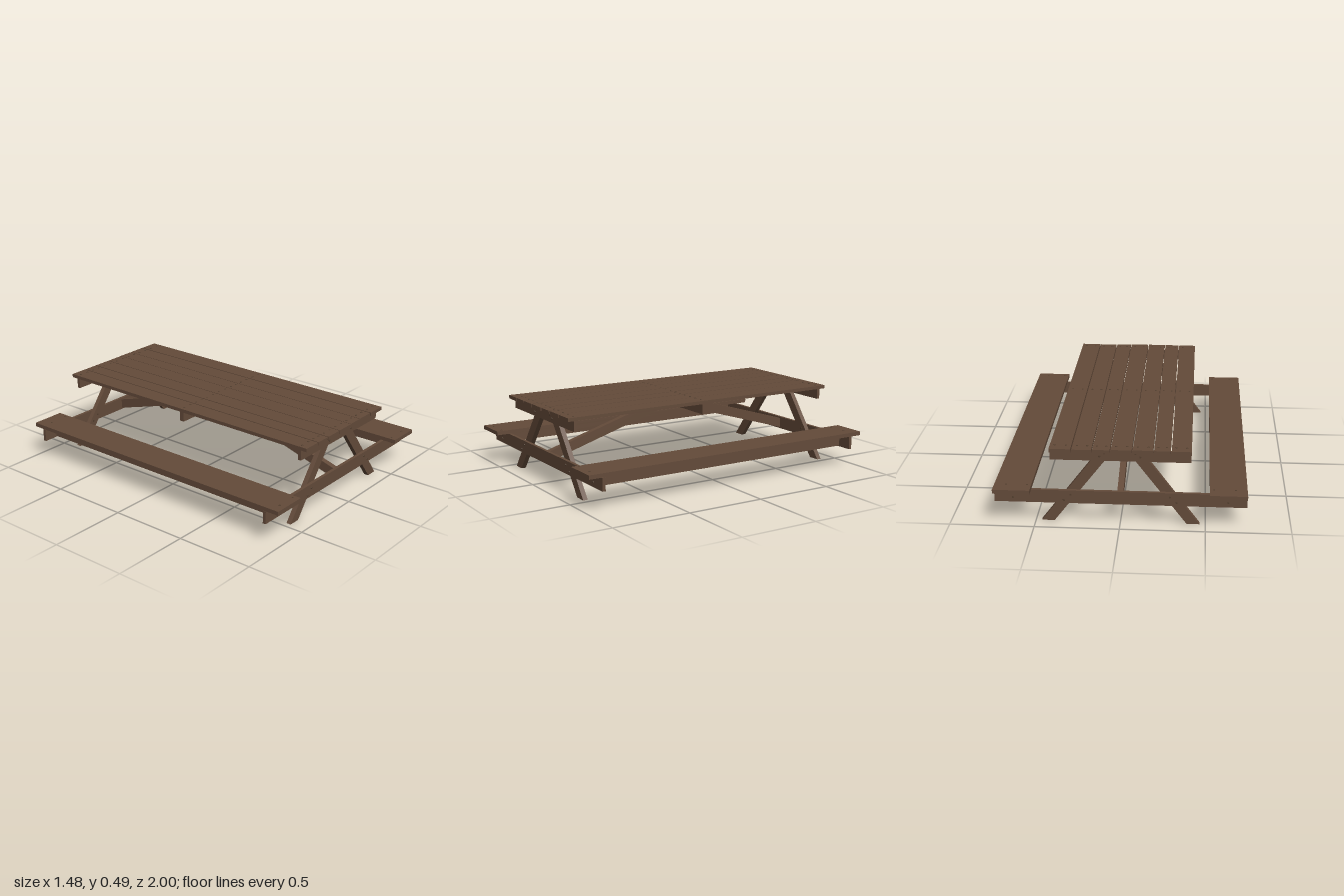
import * as THREE from 'three';

export function createModel() {
  const group = new THREE.Group();
  const wood = new THREE.MeshStandardMaterial({ color: 0x644b3a });
  wood.name = 'brown wood';
  const boltMat = new THREE.MeshStandardMaterial({ color: 0x54402f });
  boltMat.name = 'dark bolt';

  const add = (name, geo, mat = wood) => {
    const mesh = new THREE.Mesh(geo, mat);
    mesh.name = name;
    group.add(mesh);
    return mesh;
  };
  // Board given by its limits on each axis
  const board = (name, x0, x1, y0, y1, z0, z1) =>
    add(name, new THREE.BoxGeometry(x1 - x0, y1 - y0, z1 - z0))
      .position.set((x0 + x1) / 2, (y0 + y1) / 2, (z0 + z1) / 2);
  // Flat outline extruded by depth
  const slab = (points, depth) =>
    new THREE.ExtrudeGeometry(new THREE.Shape(points.map(p => new THREE.Vector2(...p))),
      { depth, bevelEnabled: false });
  // Low bolt heads, facing up or along z
  const headGeo = new THREE.CylinderGeometry(0.006, 0.007, 0.006, 8);
  const bolt = (name, x, y, z, alongZ = false) => {
    const b = add(name, headGeo, boltMat);
    b.position.set(x, y, z);
    if (alongZ) b.rotation.x = Math.sign(z) * Math.PI / 2;
  };

  // Table top: seven slightly uneven planks
  const seams = [-0.415, -0.295, -0.195, -0.073, 0.053, 0.158, 0.278, 0.408];
  const shifts = [0, 0.001, 0.002, 0.001, -0.002, -0.004, -0.002];
  for (let i = 0; i < 7; i++) {
    const a = seams[i], b = seams[i + 1], s = shifts[i];
    board('topPlank', a + 0.003, b - 0.003, 0.467, 0.489 + s / 3, -0.971 + s, 0.955 + s);
    for (const z of [-0.917, 0.005, 0.905])
      for (const t of [0.25, 0.75]) bolt('topBolt', a + (b - a) * t, 0.488, z);
  }

  // Centre cleat under the top
  board('centreCleat', -0.405, 0.405, 0.403, 0.467, -0.016, 0.016);

  // Benches with a rail under each seat
  for (const s of [-1, 1]) {
    const x = s * 0.63;
    board('benchSeat', x - 0.109, x + 0.109, 0.207, 0.232, -1, 1);
    board('benchRail', x - 0.015, x + 0.015, 0.13, 0.207, -0.908, 0.895);
    for (const z of [-0.92, 0.96])
      for (const dx of [-0.085, 0.04]) bolt('seatBolt', x + s * dx, 0.231, z);
  }

  // End frames: crossbeam and top cleat outside a pair of slanted legs
  for (const [f, inner] of [[1, 0.865], [-1, 0.878]]) {
    const mid = inner + 0.03, outer = mid + 0.02;
    const z0 = Math.min(f * mid, f * outer), z1 = Math.max(f * mid, f * outer);
    board('benchBeam', -0.74, 0.74, 0.125, 0.206, z0, z1);
    board('topCleat', -0.41, 0.407, 0.402, 0.467, z0, z1);
    for (const s of [-1, 1]) {
      const outline = [[0.39, 0], [0.465, 0], [0.114, 0.467], [0.034, 0.467]];
      const leg = add('leg', slab(outline.map(([x, y]) => [s * x, y]), 0.03));
      leg.position.z = f > 0 ? inner : -mid;
      const spots = [[0.63, 0.18], [0.63, 0.155], [0.29, 0.18], [0.33, 0.145], [0.09, 0.45], [0.118, 0.43]];
      spots.forEach(([x, y], i) => {
        bolt('frameBolt', s * x, y, f * (outer + 0.001), true);
        if (i > 1) bolt('frameNut', s * x, y, f * (inner - 0.002), true);
      });
    }
  }

  // Diagonal braces from the crossbeams up to the centre cleat
  for (const [f, end] of [[1, 0.895], [-1, 0.908]]) {
    const outline = [[0, 0.402], [end, 0.133], [end, 0.197], [0, 0.466]];
    const brace = add('diagonalBrace', slab(outline.map(([z, y]) => [-f * z, y]), 0.036));
    brace.rotation.y = Math.PI / 2;
    brace.position.x = -0.018;
  }

  return group;
}
